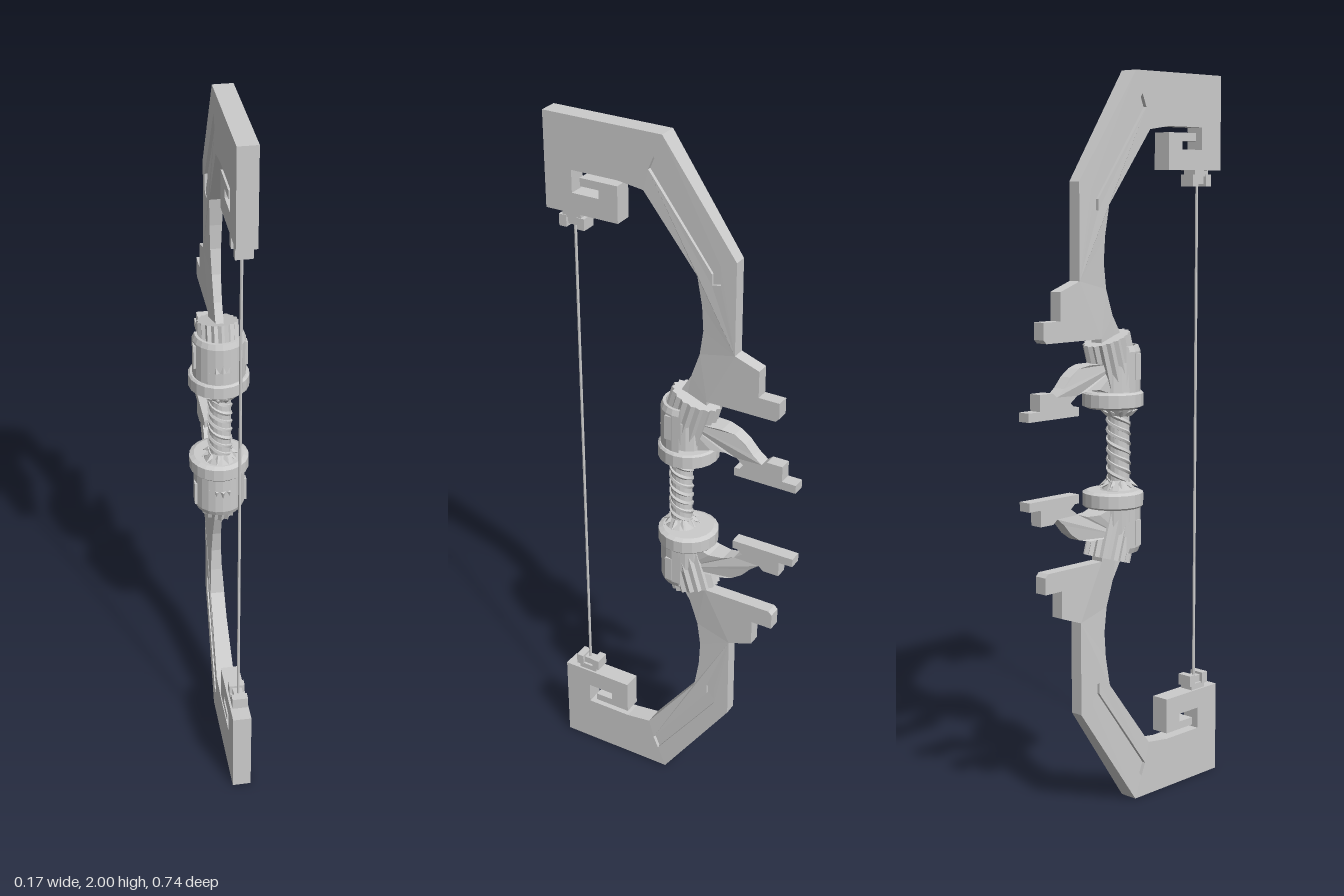
import * as THREE from 'three';

const material = new THREE.MeshStandardMaterial({ color: 0xcccccc, flatShading: true, side: THREE.DoubleSide });
const lerp = THREE.MathUtils.lerp, clamp = THREE.MathUtils.clamp;

// Side profile of [z, y] points, extruded across x to a half thickness given by half(z, y)
function profile(points, half, holes = []) {
  const toShape = (pts, C) => new C(pts.map(([z, y]) => new THREE.Vector2(z, y)));
  const shape = toShape(points, THREE.Shape);
  shape.holes = holes.map(h => toShape(h, THREE.Path));
  const g = new THREE.ExtrudeGeometry(shape, { depth: 2, bevelEnabled: false });
  g.translate(0, 0, -1).rotateY(-Math.PI / 2);
  const p = g.attributes.position;
  for (let i = 0; i < p.count; i++) p.setX(i, p.getX(i) * half(p.getZ(i), p.getY(i)));
  g.computeVertexNormals();
  return g;
}

const box = (w, h, d, x, y, z) => new THREE.BoxGeometry(w, h, d).translate(x, y, z);

// Mirror in the plane y = 1, keeping faces outward
function mirrored(src) {
  const g = src.index ? src.toNonIndexed() : src.clone();
  g.scale(1, -1, 1).translate(0, 2, 0);
  const p = g.attributes.position, a = new THREE.Vector3(), b = new THREE.Vector3();
  for (let i = 0; i < p.count; i += 3) {
    a.fromBufferAttribute(p, i + 1);
    b.fromBufferAttribute(p, i + 2);
    p.setXYZ(i + 1, b.x, b.y, b.z);
    p.setXYZ(i + 2, a.x, a.y, a.z);
  }
  g.computeVertexNormals();
  return g;
}

export function createModel() {
  const group = new THREE.Group();
  const add = (name, geometry) => {
    const m = new THREE.Mesh(geometry, material);
    m.name = name;
    group.add(m);
  };
  const addPair = (name, geometry) => {
    add('upper ' + name, geometry);
    add('lower ' + name, mirrored(geometry));
  };

  // Limb: thick at the tip, thinner toward the spine and the grip
  const limbHalf = (z, y) => {
    if (z < -0.2) return 0.018;
    if (y > 1.69) return lerp(0.018, 0.026, clamp((z + 0.18) / 0.2, 0, 1));
    const inner = z > -0.1 ? 0.011 : 0.018;
    return lerp(inner, 0.02, clamp((y - 1.4) / 0.29, 0, 1));
  };
  const groove = [[0.05, 1.94], [0.065, 1.905], [-0.112, 1.665], [-0.112, 1.635], [-0.137, 1.64], [-0.137, 1.69]];
  addPair('limb', profile([
    [0.37, 2], [0.025, 2], [-0.18, 1.71], [-0.18, 1.455], [-0.25, 1.43], [-0.25, 1.355],
    [-0.31, 1.355], [-0.31, 1.31], [-0.30, 1.30], [-0.10, 1.30], [-0.10, 1.25], [-0.03, 1.25],
    [-0.02, 1.31], [-0.05, 1.36], [-0.075, 1.43], [-0.086, 1.5], [-0.083, 1.57], [-0.07, 1.65],
    [0.08, 1.848], [0.155, 1.858],
    // hooked slot that separates the tip block
    [0.29, 1.858], [0.29, 1.797], [0.21, 1.797], [0.21, 1.82], [0.265, 1.82], [0.265, 1.842],
    [0.155, 1.842], [0.155, 1.742], [0.37, 1.742],
  ], limbHalf, [groove]));
  addPair('limb groove floor', profile(groove, (z, y) => limbHalf(z, y) * 0.6));

  // String holder: neck and two prongs
  addPair('string holder', box(0.04, 0.02, 0.055, 0, 1.735, 0.297));
  for (const s of [-1, 1])
    addPair('string prong', box(0.044, 0.032, 0.022, 0, 1.714, 0.297 + s * 0.027));
  addPair('string knot', box(0.026, 0.026, 0.034, 0, 1.718, 0.297));

  // Collar ring with a stepped inner lip
  const ring = [[0.035, 1.112], [0.07, 1.112], [0.083, 1.118], [0.083, 1.152], [0.078, 1.157], [0.04, 1.157]];
  addPair('collar', new THREE.LatheGeometry(ring.map(p => new THREE.Vector2(...p)), 20).translate(0, 0, -0.038));

  // Front housing shell, open toward the back
  const shell = [[0.058, 1.15], [0.072, 1.15], [0.072, 1.265], [0.066, 1.28], [0.058, 1.28], [0.058, 1.15]];
  addPair('housing', new THREE.LatheGeometry(shell.map(p => new THREE.Vector2(...p)), 12, -1.75, 3.5)
    .translate(0, 0, -0.034));
  addPair('housing core', new THREE.CylinderGeometry(0.056, 0.06, 0.09, 16).translate(0, 1.19, -0.036));
  for (const s of [-1, 1])
    addPair('housing rib', box(0.012, 0.07, 0.02, s * 0.067, 1.225, -0.015));

  // Tilted ribbed joint carrying the limb
  const joint = new THREE.CylinderGeometry(1, 1, 0.13, 36, 1);
  const jp = joint.attributes.position;
  for (let i = 0; i < jp.count; i++) {
    const a = Math.round(Math.atan2(jp.getX(i), jp.getZ(i)) / (Math.PI / 18));
    const r = Math.abs(a) % 2 ? 0.9 : 1;
    jp.setXYZ(i, jp.getX(i) * r * 0.056, jp.getY(i), jp.getZ(i) * r * 0.073);
  }
  joint.rotateX(-0.29).translate(0, 1.238, -0.044);
  joint.computeVertexNormals();
  addPair('ribbed joint', joint);

  // Curved arm and its flat sight plate behind the collar
  addPair('rear arm', profile([
    [-0.04, 1.235], [-0.15, 1.235], [-0.185, 1.228], [-0.215, 1.208], [-0.24, 1.18], [-0.265, 1.16],
    [-0.28, 1.172], [-0.325, 1.172], [-0.325, 1.128], [-0.20, 1.128], [-0.215, 1.14], [-0.19, 1.158],
    [-0.16, 1.168], [-0.12, 1.168], [-0.08, 1.155], [-0.04, 1.155],
  ], z => lerp(0.018, 0.034, clamp((z + 0.19) / 0.08, 0, 1))));
  addPair('rear plate', box(0.036, 0.024, 0.18, 0, 1.116, -0.275));

  // Flared, toothed crown where the grip meets the collar
  const gz = -0.016;
  addPair('grip flare', new THREE.CylinderGeometry(0.045, 0.031, 0.025, 16).translate(0, 1.1, gz));
  const teeth = 10;
  for (let i = 0; i < teeth; i++) {
    const tooth = new THREE.ConeGeometry(0.009, 0.028, 4).rotateZ(-1.1).translate(0.042, 1.1, 0);
    addPair('crown tooth', tooth.rotateY(i / teeth * Math.PI * 2).translate(0, 0, gz));
  }

  // Grip wrapped with twisted cord
  add('grip', new THREE.CylinderGeometry(0.03, 0.03, 0.23, 16).translate(0, 1, gz));
  const strands = 3, turns = 2.5;
  for (let s = 0; s < strands; s++) {
    const pts = Array.from({ length: 41 }, (_, i) => {
      const a = (i / 40 * turns + s / strands) * Math.PI * 2;
      return new THREE.Vector3(Math.cos(a) * 0.028, 0.9 + i / 40 * 0.2, gz + Math.sin(a) * 0.028);
    });
    add('grip cord', new THREE.TubeGeometry(new THREE.CatmullRomCurve3(pts), 80, 0.0065, 5));
  }

  // Bowstring
  add('string', new THREE.CylinderGeometry(0.004, 0.004, 1.42, 8).translate(0, 1, 0.3));
  return group;
}
